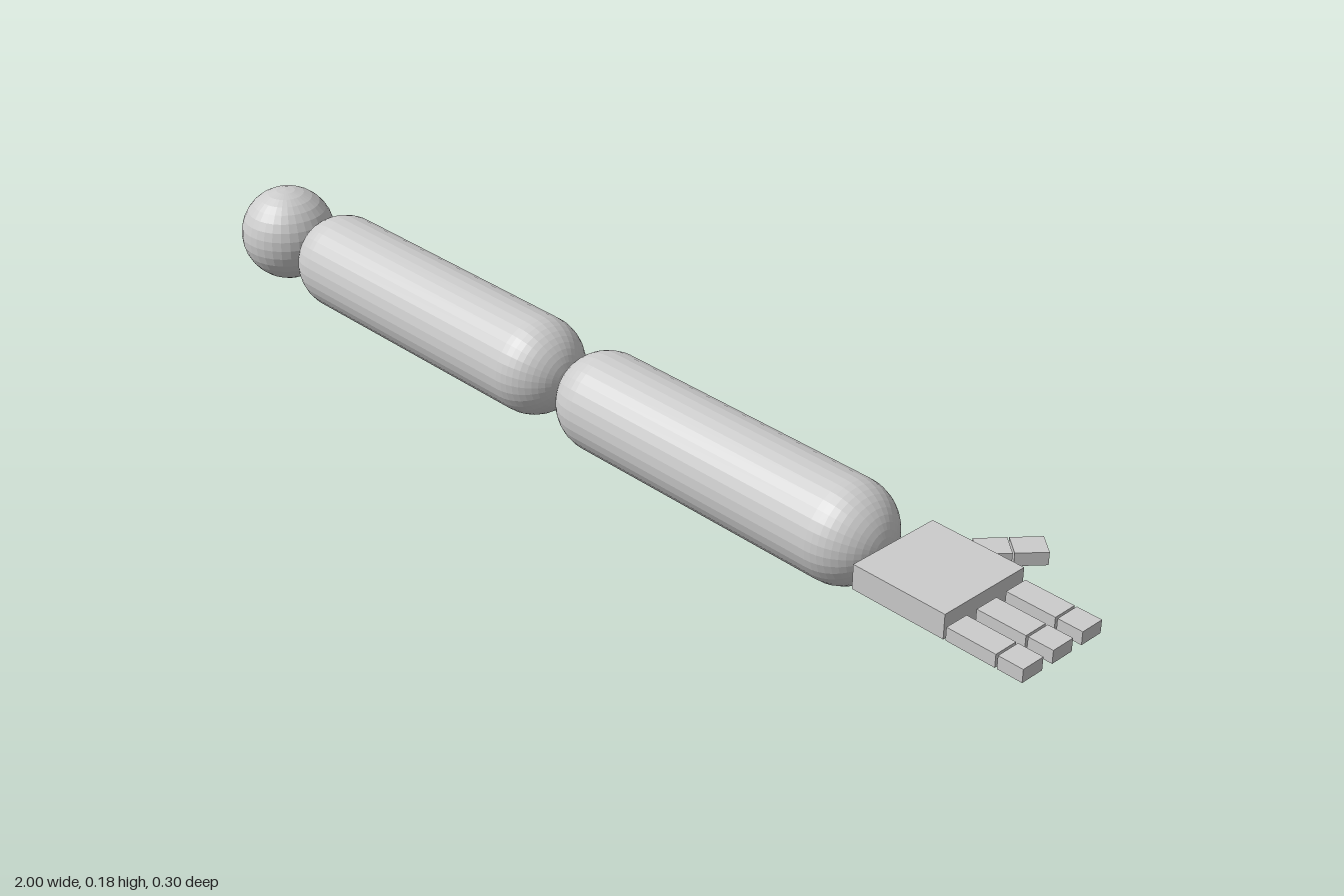
import * as THREE from 'three';

const R = 0.091;       // arm radius
const AXIS_Z = 0.06;   // arm centre line
const FINGER_W = 0.046;
const FINGER_H = 0.024;
const FINGER_Y = 0.083;

export function createModel() {
  const model = new THREE.Group();
  model.name = 'roboticArm';
  const material = new THREE.MeshStandardMaterial({ color: 0xcccccc, flatShading: true });

  function add(parent, name, geometry, x, y, z) {
    const mesh = new THREE.Mesh(geometry, material);
    mesh.name = name;
    mesh.position.set(x, y, z);
    parent.add(mesh);
    return mesh;
  }

  // Finger made of two boxes along +x, starting at the group's origin
  function addDigit(parent, name, lengths, gap) {
    const digit = new THREE.Group();
    digit.name = name;
    let x = 0;
    lengths.forEach((length, i) => {
      const box = new THREE.BoxGeometry(length, FINGER_H, FINGER_W);
      add(digit, i === 0 ? 'lowerSegment' : 'tipSegment', box, x + length / 2, 0, 0);
      x += length + gap;
    });
    parent.add(digit);
    return digit;
  }

  // Shoulder ball
  add(model, 'shoulder', new THREE.SphereGeometry(R, 32, 16), -1 + R, R, AXIS_Z);

  // Upper arm and forearm capsules lying along x
  const limb = new THREE.CapsuleGeometry(R, 0.73 - 2 * R, 12, 32).rotateZ(-Math.PI / 2);
  add(model, 'upperArm', limb, -0.45, R, AXIS_Z);
  add(model, 'forearm', limb, 0.29, R, AXIS_Z);

  // Hand: palm, three straight fingers and an angled thumb
  const hand = new THREE.Group();
  hand.name = 'hand';
  model.add(hand);
  add(hand, 'palm', new THREE.BoxGeometry(0.183, 0.045, 0.184), 0.759, 0.093, AXIS_Z);

  ['innerFinger', 'middleFinger', 'outerFinger'].forEach((name, i) => {
    const finger = addDigit(hand, name, [0.094, 0.047], 0.004);
    finger.position.set(0.855, FINGER_Y, AXIS_Z + (i - 1) * 0.069);
  });

  const thumb = addDigit(hand, 'thumb', [0.055, 0.055], 0.003);
  thumb.position.set(0.742, FINGER_Y, -0.048);
  thumb.rotation.y = THREE.MathUtils.degToRad(50);

  return model;
}
